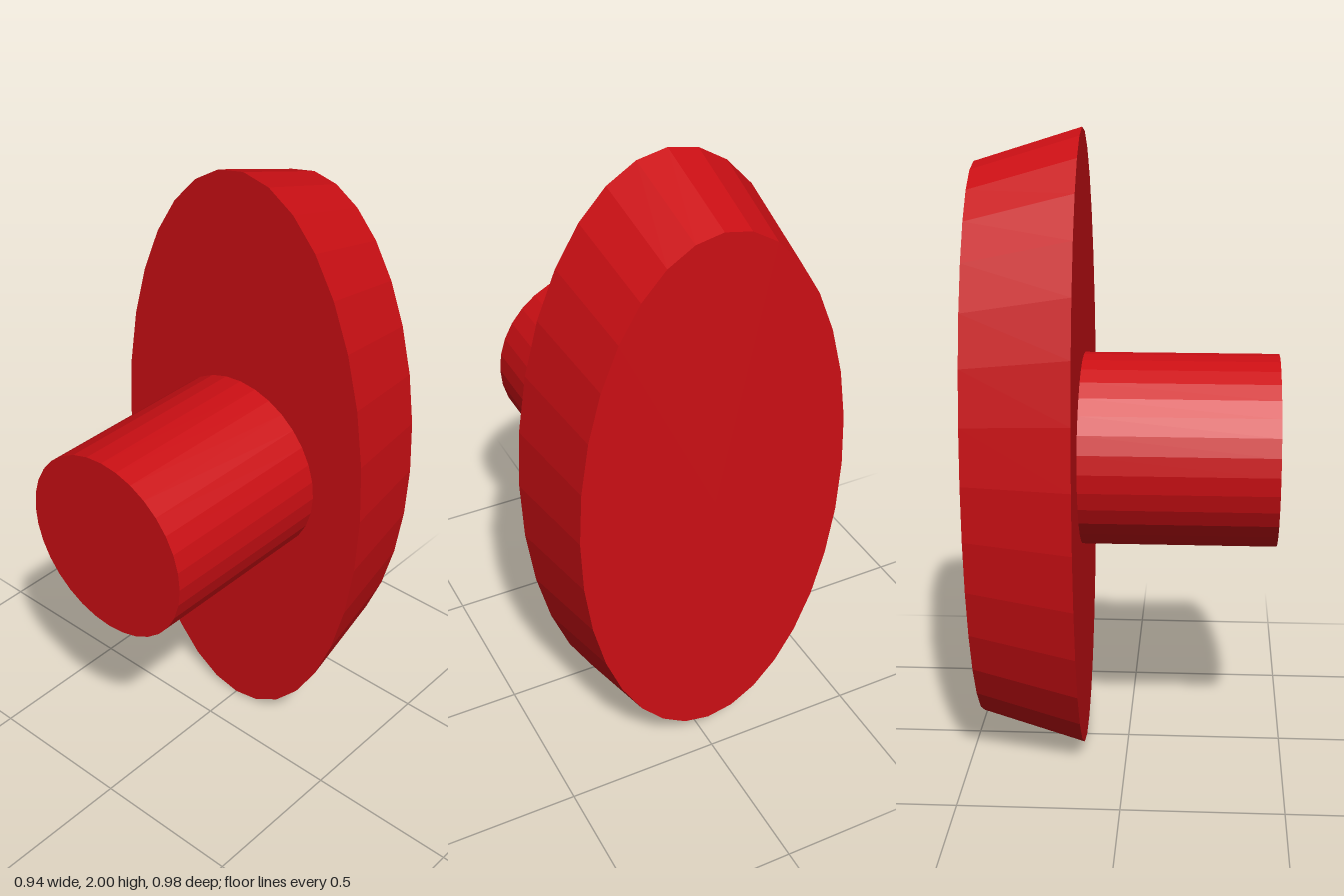
import * as THREE from 'three';

const SIDES = 32;

// Elliptical frustum lying along x, from x0 to x1, centred at y = 1
function knobPart(name, material, x0, x1, r0, r1, zScale = 1) {
  const geometry = new THREE.CylinderGeometry(r1, r0, x1 - x0, SIDES);
  geometry.rotateZ(-Math.PI / 2);
  geometry.scale(1, 1, zScale);
  const mesh = new THREE.Mesh(geometry, material);
  mesh.name = name;
  mesh.position.set((x0 + x1) / 2, 1, 0);
  return mesh;
}

export function createModel() {
  const group = new THREE.Group();
  group.name = 'knob';
  const red = new THREE.MeshStandardMaterial({ color: 0xcc0f14, flatShading: true });

  // Round shaft on the right, bevelled oval cap on the left
  group.add(knobPart('shaft', red, -0.47, 0.14, 0.304, 0.304));
  group.add(knobPart('ovalCap', red, 0.14, 0.47, 1, 0.897, 0.488));
  return group;
}
